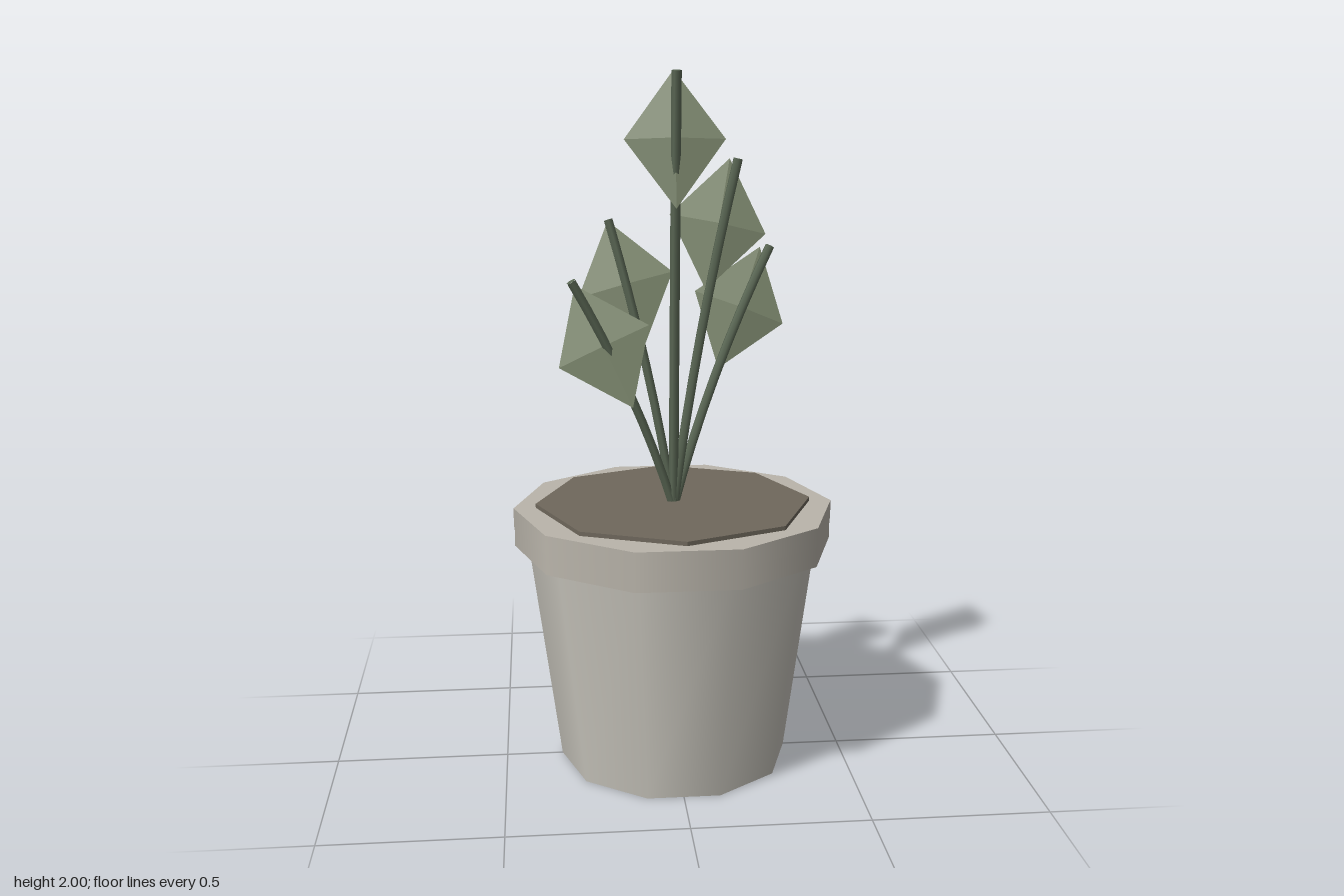
import * as THREE from 'three';

const material = (color, flatShading = false) => new THREE.MeshStandardMaterial({ color, flatShading });

export function createModel() {
  const model = new THREE.Group();
  const potMat = material(0xcac7be);
  const rimMat = material(0xbab5ab);
  const soilMat = material(0x6f685c, true);
  const stemMat = material(0x5b6855);
  const leafMat = material(0x7f8a70, true);

  const add = (name, geometry, mat, parent = model) => {
    const mesh = new THREE.Mesh(geometry, mat);
    mesh.name = name;
    parent.add(mesh);
    return mesh;
  };

  // A capped prism between two heights
  const prism = (name, rTop, rBottom, y0, y1, sides, mat) => {
    const mesh = add(name, new THREE.CylinderGeometry(rTop, rBottom, y1 - y0, sides), mat);
    mesh.position.y = (y0 + y1) / 2;
    return mesh;
  };

  // Ten-sided pot with corners on the x axis, and its eight-sided soil
  prism('potBody', 0.427, 0.335, 0, 0.69, 10, potMat).rotation.y = Math.PI / 10;
  prism('rimLower', 0.462, 0.462, 0.655, 0.713, 10, rimMat).rotation.y = Math.PI / 10;
  prism('rimUpper', 0.464, 0.464, 0.713, 0.768, 10, rimMat).rotation.y = Math.PI / 10;
  prism('soil', 0.4, 0.4, 0.74, 0.78, 8, soilMat);

  // Stem that leans further out towards its tip, closed at the end
  const addStem = (parent, [x, y, z]) => {
    const base = 0.76;
    const curve = new THREE.QuadraticBezierCurve3(
      new THREE.Vector3(0, base, 0),
      new THREE.Vector3(x * 0.35, (base + y) / 2, z * 0.35),
      new THREE.Vector3(x, y, z));
    add('stem', new THREE.TubeGeometry(curve, 8, 0.014, 6), stemMat, parent);
    const cap = add('stemTip', new THREE.CircleGeometry(0.014, 6), stemMat, parent);
    cap.position.set(x, y, z);
    cap.lookAt(cap.position.clone().add(curve.getTangent(1)));
  };

  // Flattened diamond leaf, tilted back and turned with its stem
  const addLeaf = (parent, [x, y, z], turn) => {
    const geometry = new THREE.OctahedronGeometry(1).scale(0.14, 0.19, 0.024);
    const leaf = add('leaf', geometry, leafMat, parent);
    leaf.position.set(x, y, z);
    leaf.rotation.set(-0.235, 0, THREE.MathUtils.degToRad(turn), 'ZYX');
  };

  // Stem tip, leaf centre, leaf turn in degrees
  const shoots = [
    [[0, 1.998, 0.088], [0, 1.815, 0.043], 0],
    [[0.18, 1.76, 0], [0.13, 1.575, -0.048], -12],
    [[-0.18, 1.59, -0.05], [-0.13, 1.4, -0.09], 15],
    [[0.29, 1.505, -0.112], [0.208, 1.32, -0.156], -21],
    [[-0.29, 1.435, 0.09], [-0.2, 1.245, 0.044], 25],
  ];
  for (const [tip, centre, turn] of shoots) {
    const shoot = new THREE.Group();
    shoot.name = 'shoot';
    addStem(shoot, tip);
    addLeaf(shoot, centre, turn);
    model.add(shoot);
  }
  return model;
}
